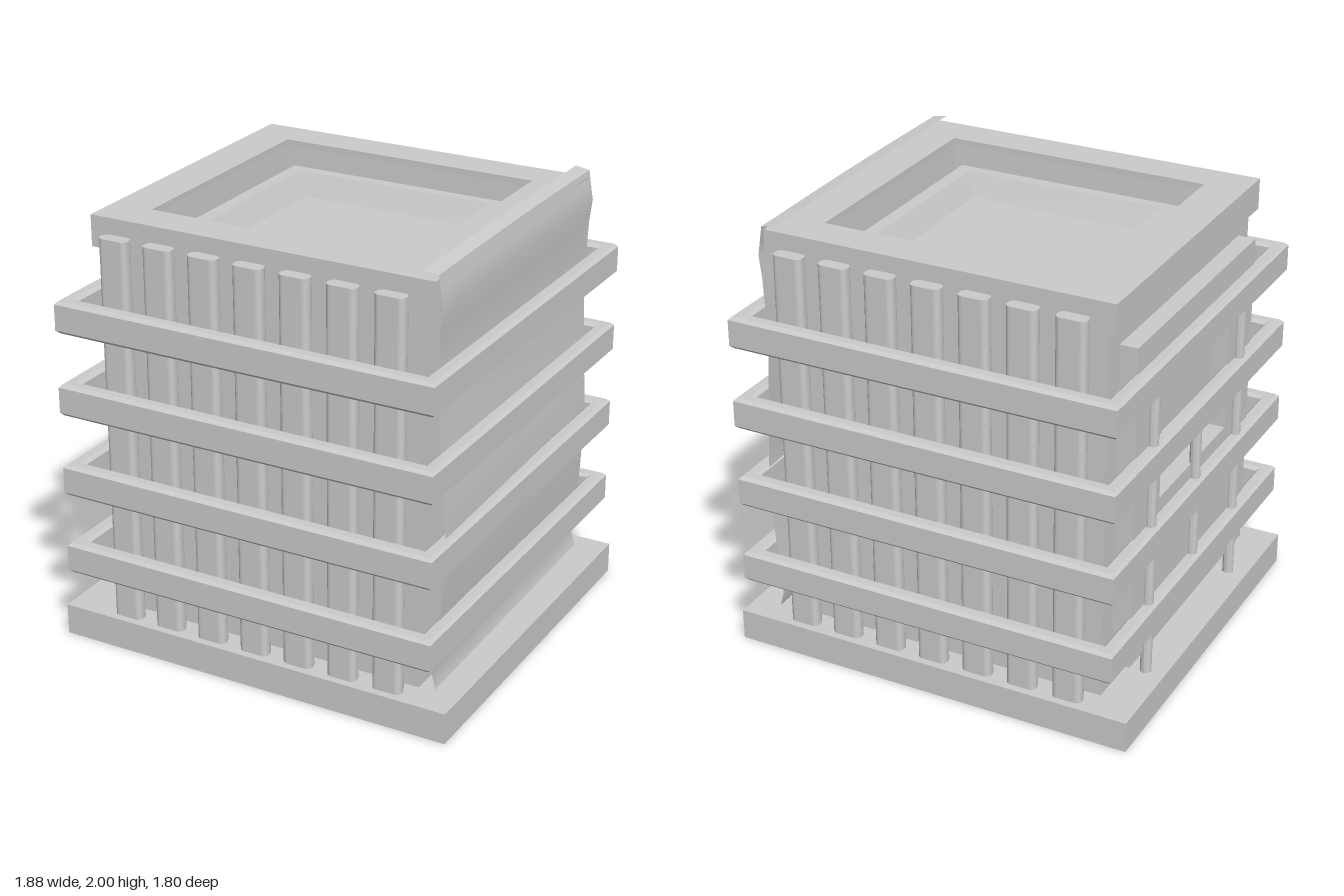
import * as THREE from 'three';

const grey = new THREE.MeshStandardMaterial({ color: 0xcccccc, flatShading: true });
const sheetGrey = new THREE.MeshStandardMaterial({ color: 0xcccccc, side: THREE.DoubleSide });

const rectPoints = (x0, y0, x1, y1) => [[x0, y0], [x1, y0], [x1, y1], [x0, y1]].map(p => new THREE.Vector2(...p));

// rectangle with a rectangular hole, extruded along z
function frameGeometry(outer, inner, depth, bevel = 0) {
  const shape = new THREE.Shape(rectPoints(...outer));
  shape.holes.push(new THREE.Path(rectPoints(...inner)));
  return new THREE.ExtrudeGeometry(shape, {
    depth: depth - 2 * bevel, bevelEnabled: bevel > 0, bevelSize: bevel,
    bevelThickness: bevel, bevelOffset: -bevel, bevelSegments: 1
  }).translate(0, 0, bevel);
}

// horizontal frame given half sizes, between y0 and y1
const flatFrame = (ox, oz, ix, iz, y0, y1, bevel) =>
  frameGeometry([-ox, -oz, ox, oz], [-ix, -iz, ix, iz], y1 - y0, bevel).rotateX(-Math.PI / 2).translate(0, y0, 0);

const boxBetween = (x0, x1, y0, y1, z0, z1) =>
  new THREE.BoxGeometry(x1 - x0, y1 - y0, z1 - z0).translate((x0 + x1) / 2, (y0 + y1) / 2, (z0 + z1) / 2);

// vertical post with a rounded section
function pillarGeometry(w, d, r, y0, y1) {
  const s = new THREE.Shape(), a = w / 2, b = d / 2;
  s.moveTo(-a + r, -b).lineTo(a - r, -b);
  s.absarc(a - r, -b + r, r, -Math.PI / 2, 0);
  s.absarc(a - r, b - r, r, 0, Math.PI / 2);
  s.absarc(-a + r, b - r, r, Math.PI / 2, Math.PI);
  s.absarc(-a + r, -b + r, r, Math.PI, Math.PI * 1.5);
  return new THREE.ExtrudeGeometry(s, { depth: y1 - y0, bevelEnabled: false, curveSegments: 3 })
    .rotateX(-Math.PI / 2).translate(0, y0, 0);
}

// rectangular loops [halfX, halfZ, y] joined by faces looking inward, closed at the last one
function basinGeometry(loops) {
  const pos = [], idx = [];
  for (const [x, z, y] of loops) pos.push(-x, y, -z, -x, y, z, x, y, z, x, y, -z);
  for (let i = 0; i < loops.length - 1; i++) {
    for (let k = 0; k < 4; k++) {
      const a = i * 4 + k, b = i * 4 + (k + 1) % 4;
      idx.push(a, b, b + 4, a, b + 4, a + 4);
    }
  }
  const e = (loops.length - 1) * 4;
  idx.push(e, e + 1, e + 2, e, e + 2, e + 3);
  const g = new THREE.BufferGeometry();
  g.setAttribute('position', new THREE.Float32BufferAttribute(pos, 3));
  g.setIndex(idx);
  const flat = g.toNonIndexed();
  flat.computeVertexNormals();
  return flat;
}

// thin rippled sheet hanging down one side, with a sharp fold (doubled point) at the top
function sheetGeometry() {
  const path = [[0.735, 1.992], [0.8, 1.982], [0.8, 1.982], [0.81, 1.92], [0.822, 1.85], [0.81, 1.75], [0.803, 1.6],
    [0.805, 1.4], [0.818, 1.2], [0.828, 1.05], [0.84, 0.88], [0.838, 0.72], [0.83, 0.55], [0.815, 0.38], [0.797, 0.22], [0.815, 0.15]];
  const nz = 16, g = new THREE.PlaneGeometry(1, 1, nz, path.length - 1), p = g.attributes.position;
  for (let i = 0; i < p.count; i++) {
    const [x, y] = path[Math.floor(i / (nz + 1))], t = (i % (nz + 1)) / nz;
    const sway = (0.5 - t) * (0.012 + 0.02 * Math.sin(Math.PI * Math.min(1, y / 1.6)));
    p.setXYZ(i, x + sway, y + (y > 1.9 ? 0.006 * Math.sin(t * Math.PI) : 0), 0.715 - 1.467 * t);
  }
  g.computeVertexNormals();
  return g;
}

export function createModel() {
  const group = new THREE.Group();
  const add = (name, geometry, material = grey) => {
    const mesh = new THREE.Mesh(geometry, material);
    mesh.name = name;
    group.add(mesh);
    return mesh;
  };

  // hollow base, open below
  add('baseSkirt', flatFrame(0.94, 0.855, 0.935, 0.85, 0, 0.132));
  add('baseTop', flatFrame(0.94, 0.855, 0.75, 0.69, 0.132, 0.142));

  // hollow body with recessed front and back walls
  for (const s of [-1, 1]) {
    const frame = frameGeometry([-0.76, 0.14, 0.75, 1.82], [-0.7, 0.29, 0.7, 1.68], 0.03);
    frame.translate(0, 0, s > 0 ? 0.69 : -0.72);
    add(s > 0 ? 'frontWallFrame' : 'backWallFrame', frame);
    add(s > 0 ? 'frontWall' : 'backWall', boxBetween(-0.75, 0.74, 0.29, 1.68, s > 0 ? 0.63 : -0.69, s > 0 ? 0.69 : -0.63));
  }
  add('leftWall', boxBetween(0.735, 0.75, 0.14, 1.82, -0.7, 0.7));
  add('rightWall', boxBetween(-0.76, -0.745, 0.14, 1.82, -0.7, 0.7));
  add('ceiling', boxBetween(-0.74, 0.74, 1.69, 1.72, -0.7, 0.7));

  // roof rim, a sunken gutter and a raised tray with sloping sides
  add('roofRim', flatFrame(0.8, 0.73, 0.612, 0.557, 1.82, 1.96));
  add('roofTray', basinGeometry([[0.613, 0.558, 1.96], [0.605, 0.55, 1.75], [0.54, 0.49, 1.75],
    [0.533, 0.483, 1.87], [0.47, 0.43, 1.87], [0.42, 0.38, 1.77]]));

  // rows of pillars along front and back
  const pillar = pillarGeometry(0.135, 0.062, 0.025, 0.13, 1.9);
  for (const z of [-0.79, 0.79]) {
    for (let i = -3; i <= 3; i++) add(z > 0 ? 'frontPillar' : 'backPillar', pillar).position.set(i * 0.214, 0, z);
  }

  // four bands around the body
  for (let i = 0; i < 4; i++) {
    const y = 0.338 + i * 0.377;
    add('band', flatFrame(0.888, 0.898, 0.82, 0.83, y, y + 0.145, 0.014));
  }

  // raised panel with a window recess, and pipes, on the right side
  add('sidePanel', frameGeometry([-0.61, 0.24, 0.61, 1.73], [-0.35, 0.93, 0.35, 1.42], 0.085)
    .rotateY(-Math.PI / 2).translate(-0.755, 0, 0));
  for (const [z, y0, y1] of [[-0.46, 0, 1.5], [0.45, 0, 1.5], [0, 0.36, 1.12]]) {
    add('pipe', new THREE.CylinderGeometry(0.025, 0.025, y1 - y0, 12)).position.set(-0.85, (y0 + y1) / 2, z);
  }

  // rippled sheet on the left side
  add('sideSheet', sheetGeometry(), sheetGrey);
  return group;
}
